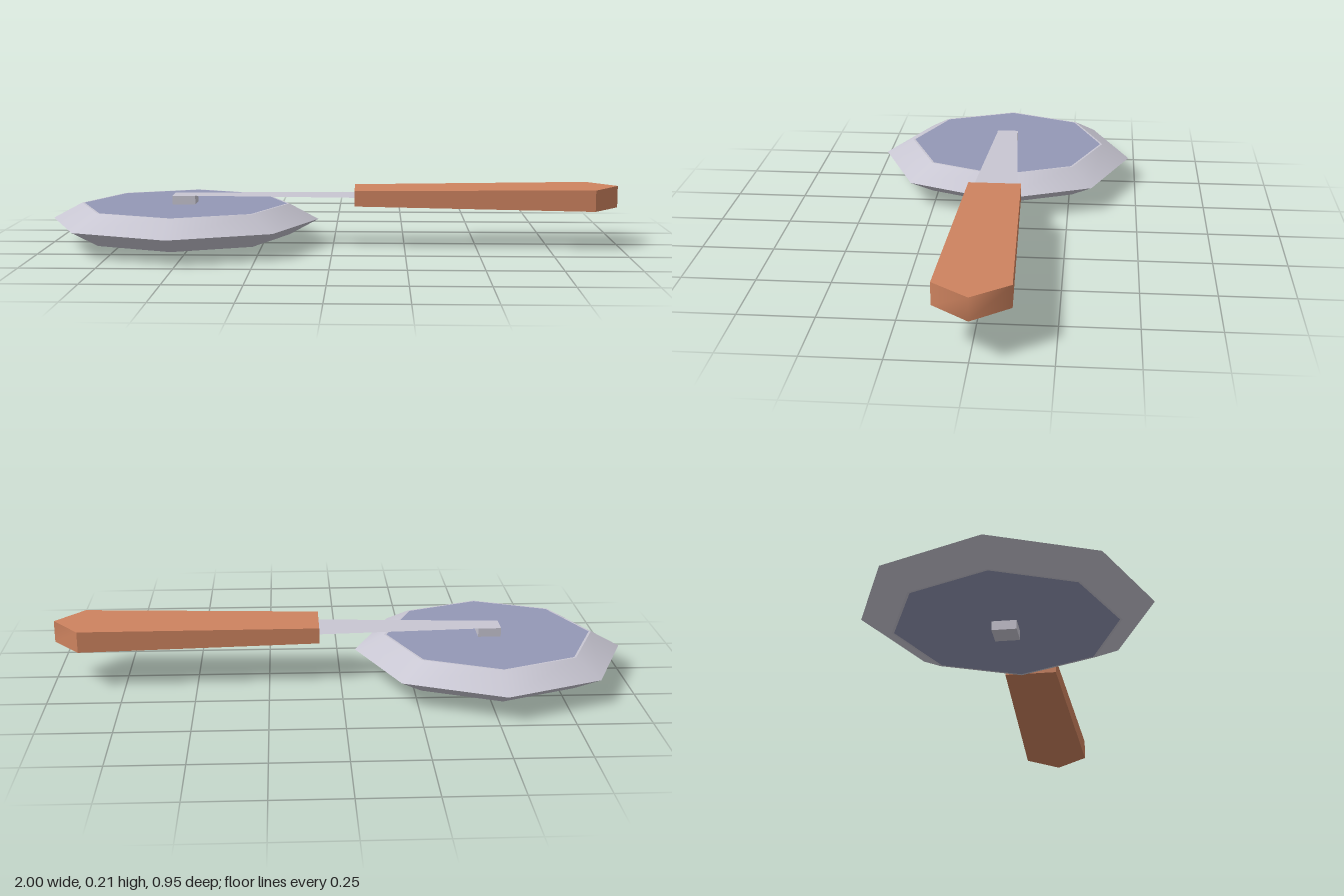
import * as THREE from 'three';

const steel = new THREE.MeshStandardMaterial({ color: 0xc8c6d2, side: THREE.DoubleSide });
steel.name = 'steel';
const blueSteel = new THREE.MeshStandardMaterial({ color: 0x9498b6 });
blueSteel.name = 'blueSteel';
const wood = new THREE.MeshStandardMaterial({ color: 0xce835f });
wood.name = 'wood';

function mesh(name, geometry, material, x = 0, y = 0, z = 0) {
  const m = new THREE.Mesh(geometry, material);
  m.name = name;
  m.position.set(x, y, z);
  return m;
}

function surface(points, index) {
  const g = new THREE.BufferGeometry();
  g.setAttribute('position', new THREE.Float32BufferAttribute(points.flat(), 3));
  g.setIndex(index);
  g.computeVertexNormals();
  return g;
}

// Octagonal wheel: two smooth bevels meeting at the cutting edge, with flat faces
function createBlade() {
  const blade = new THREE.Group();
  blade.name = 'blade';
  const R = 0.473, r = 0.37, inner = 0.362, edgeY = 0.087;
  for (const [side, y, dir] of [['upper', 0.142, 1], ['lower', 0.031, -1]]) {
    const top = dir > 0 ? r : R, bottom = dir > 0 ? R : r;
    blade.add(mesh(side + 'Bevel',
      new THREE.CylinderGeometry(top, bottom, Math.abs(y - edgeY), 8, 1, true),
      steel, 0, (y + edgeY) / 2));
    const turn = -dir * Math.PI / 2;
    blade.add(mesh(side + 'Rim', new THREE.RingGeometry(inner, r, 8).rotateX(turn), steel, 0, y));
    blade.add(mesh(side + 'Face', new THREE.CircleGeometry(inner, 8).rotateX(turn), blueSteel, 0, y));
  }
  blade.position.x = -0.527;
  return blade;
}

// Wooden grip: widens and thickens to the back, ending in a softened point
function createHandle() {
  const handle = new THREE.Group();
  handle.name = 'handle';
  // Plan outline as [x, z, bottom y, top y]
  const outline = [[0.075, 0.092, 0.145, 0.2], [0.905, 0.12, 0.134, 0.208], [1, 0, 0.133, 0.209],
    [0.905, -0.12, 0.134, 0.208], [0.075, -0.092, 0.145, 0.2]];
  const low = outline.map(([x, z, b]) => [x, b, z]);
  const high = outline.map(([x, z, , t]) => [x, t, z]);
  const wall = (name, ids) => {
    const points = ids.flatMap(i => [low[i], high[i]]);
    const index = [];
    for (let k = 0; k < ids.length - 1; k++) {
      const a = k * 2;
      index.push(a, a + 2, a + 3, a, a + 3, a + 1);
    }
    handle.add(mesh(name, surface(points, index), wood));
  };
  wall('handleFrontSide', [0, 1]);
  wall('handleTip', [1, 2, 3]);
  wall('handleBackSide', [3, 4]);
  wall('handleNeckEnd', [4, 0]);
  handle.add(mesh('handleTop', surface(high, [0, 1, 3, 0, 3, 4, 1, 2, 3]), wood));
  handle.add(mesh('handleUnderside', surface(low, [0, 3, 1, 0, 4, 3, 1, 3, 2]), wood));
  return handle;
}

export function createModel() {
  const model = new THREE.Group();
  model.name = 'rotaryCutter';
  model.add(createBlade());

  // Square axle through the wheel
  model.add(mesh('axle', new THREE.BoxGeometry(0.08, 0.173, 0.08), steel, -0.527, 0.0865));

  // Flat tapered sheet joining the axle to the handle
  const y = 0.174;
  model.add(mesh('arm', surface(
    [[-0.567, y, 0.038], [0.08, y, 0.08], [0.08, y, -0.08], [-0.567, y, -0.038]],
    [0, 1, 2, 0, 2, 3]), steel));

  model.add(createHandle());
  return model;
}
